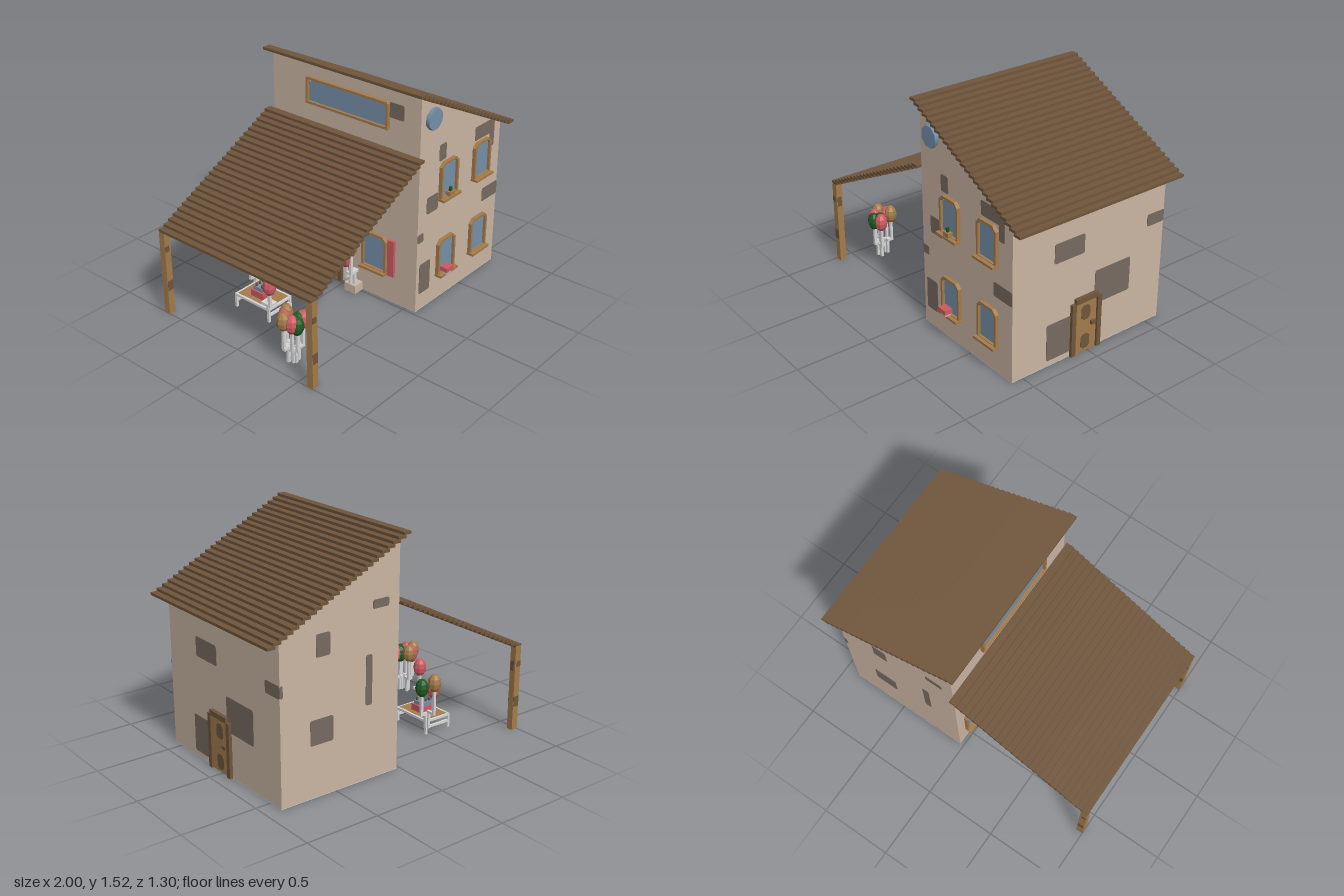
import * as THREE from 'three';

const mat = (name, color) => Object.assign(new THREE.MeshStandardMaterial({ color }), { name });
const M = {
  plaster: mat('plaster', 0xcbb6a4), stone: mat('worn stone', 0x776b60),
  wood: mat('light wood', 0xa47c4c), dark: mat('dark wood', 0x70563c),
  glass: mat('glass', 0x7690aa), red: mat('red', 0xcc5a60),
  green: mat('leaf green', 0x1f5a24), white: mat('white', 0xd6d6d6),
};

function add(parent, name, geometry, material, x = 0, y = 0, z = 0) {
  const mesh = new THREE.Mesh(geometry, material);
  mesh.name = name;
  mesh.position.set(x, y, z);
  parent.add(mesh);
  return mesh;
}
// box given by its minimum and maximum corners
function box(parent, name, material, x0, x1, y0, y1, z0, z1) {
  return add(parent, name, new THREE.BoxGeometry(x1 - x0, y1 - y0, z1 - z0), material,
    (x0 + x1) / 2, (y0 + y1) / 2, (z0 + z1) / 2);
}
function group(parent, name, x = 0, y = 0, z = 0, turn = 0) {
  const g = new THREE.Group();
  g.name = name;
  g.position.set(x, y, z);
  g.rotation.y = turn;
  parent.add(g);
  return g;
}
// outline with bevelled lower corners (b) and upper corners (t)
function outline(x0, x1, y0, y1, b, t) {
  return new THREE.Shape([[x0 + b, y0], [x1 - b, y0], [x1, y0 + b], [x1, y1 - t], [x1 - t, y1],
    [x0 + t, y1], [x0, y1 - t], [x0, y0 + b]].map(p => new THREE.Vector2(...p)));
}
const slab = (shape, depth) => new THREE.ExtrudeGeometry(shape, { depth, bevelEnabled: false });

// worn stone patch on a wall, u and y ranges
function patch(wall, u0, u1, y0, y1, bevel = 0.008) {
  add(wall, 'stonePatch', slab(outline(u0, u1, y0, y1, bevel, bevel), 0.003), M.stone);
}

function windowUnit(wall, u0, u1, y0, y1, sill = true) {
  const g = group(wall, 'window');
  const frame = outline(u0, u1, y0, y1, 0.001, sill ? 0.03 : 0.012);
  frame.holes.push(outline(u0 + 0.016, u1 - 0.016, y0 + 0.016, y1 - 0.016, 0.001, sill ? 0.022 : 0.005));
  add(g, 'windowFrame', slab(frame, 0.025), M.wood);
  box(g, 'windowPane', M.glass, u0 + 0.01, u1 - 0.01, y0 + 0.01, y1 - 0.035, 0, 0.007);
  box(g, 'windowPaneTop', M.glass, u0 + 0.03, u1 - 0.03, y1 - 0.035, y1 - 0.01, 0, 0.007);
  if (sill) box(g, 'windowSill', M.wood, u0 - 0.004, u1 + 0.004, y0 - 0.004, y0 + 0.012, 0, 0.05);
}

function door(wall, u, tall) {
  const g = group(wall, 'door', u);
  g.scale.y = tall;
  box(g, 'doorPanel', M.wood, -0.09, 0.09, 0, 0.365, 0, 0.008);
  for (const s of [-1, 1]) box(g, 'doorPost', M.dark, s * 0.102 - 0.016, s * 0.102 + 0.016, 0, 0.365, 0, 0.022);
  box(g, 'doorLintel', M.dark, -0.088, 0.088, 0.36, 0.395, 0, 0.025);
  for (const y of [0.02, 0.225])
    add(g, 'doorInset', slab(outline(-0.035, 0.035, y, y + 0.1, 0.018, 0.018), 0.003), M.dark, 0, 0, 0.008);
  box(g, 'doorHandle', M.dark, 0.04, 0.075, 0.175, 0.2, 0.008, 0.025);
}

// overlapping planks climbing from (x, y) in 25 steps
function steppedRoof(root, name, x, y, rise) {
  const g = group(root, name);
  for (let i = 0; i < 25; i++) {
    const px = x + i * 0.0404, py = y + i * rise;
    box(g, 'roofPlank', M.dark, px, px + 0.055, py, py + 0.018, -0.65, 0.615);
  }
}

// tulip-like bud on a white stepped stalk
const budGeometry = new THREE.SphereGeometry(1, 8, 6).toNonIndexed();
budGeometry.computeVertexNormals();
function flower(parent, material, x, y, z, footX, footY, footZ) {
  const bud = add(parent, 'flowerBud', budGeometry, material, x, y, z);
  bud.scale.set(0.044, 0.064, 0.044);
  const bend = footY + (y - footY) * 0.35, r = 0.009;
  box(parent, 'stalkLower', M.white, footX - r, footX + r, footY, bend + r, footZ - r, footZ + r);
  box(parent, 'stalkBend', M.white, Math.min(x, footX) - r, Math.max(x, footX) + r, bend - r, bend + r,
    Math.min(z, footZ) - r, Math.max(z, footZ) + r);
  box(parent, 'stalkUpper', M.white, x - r, x + r, bend, y - 0.05, z - r, z + r);
}

export function createModel() {
  const root = new THREE.Group();
  root.name = 'houseWithPorch';

  // house body and floor
  const side = new THREE.Shape([[0.025, 0], [0.895, 0], [0.895, 1.055], [0.025, 1.49]].map(p => new THREE.Vector2(...p)));
  add(root, 'houseWalls', slab(side, 1.19), M.plaster, 0, 0.003, -0.61);
  box(root, 'floorPlate', M.white, 0.025, 0.895, 0, 0.003, -0.61, 0.58);

  // roofs
  steppedRoof(root, 'mainRoof', -0.025, 1.503, -0.0204);
  steppedRoof(root, 'porchRoof', -1, 0.587, 0.0204);

  // walls: local x runs along the wall, local z points outwards
  const front = group(root, 'frontWall', 0, 0, 0.58);
  const right = group(root, 'doorWall', 0.895, 0, 0, Math.PI / 2);
  const back = group(root, 'backWall', 0, 0, -0.61, Math.PI);
  const porch = group(root, 'porchWall', 0.025, 0, 0, -Math.PI / 2);

  // front windows
  for (const u of [0.23, 0.59]) for (const y of [0.18, 0.73]) windowUnit(front, u, u + 0.18, y, y + 0.258);
  const round = add(front, 'roundWindow', new THREE.CylinderGeometry(0.072, 0.072, 0.03, 8), M.glass, 0.14, 1.32, 0.01);
  round.rotation.set(Math.PI / 2, Math.PI / 8, 0);
  [[0.225, 0.295, 1, 1.11], [0.61, 0.825, 1, 1.095], [0.775, 0.825, 0.9, 1.05], [0.11, 0.225, 0.675, 0.79],
    [0.725, 0.895, 0.52, 0.615], [0.025, 0.085, 0.5, 0.56], [0.055, 0.165, 0.12, 0.335]].forEach(p => patch(front, ...p));
  // things on the window sills
  box(front, 'sillPot', M.wood, 0.295, 0.345, 0.74, 0.772, 0.01, 0.045);
  box(front, 'sillPlant', M.green, 0.312, 0.328, 0.77, 0.8, 0.02, 0.036);
  box(front, 'flowerPot', M.plaster, 0.27, 0.325, 0.19, 0.212, 0.02, 0.06);
  box(front, 'sillFlowers', M.red, 0.262, 0.333, 0.21, 0.24, 0.015, 0.07);

  // door wall
  door(right, -0.018, 1);
  [[-0.27, -0.04, 0.69, 0.82], [0.47, 0.61, 0.69, 0.77], [0.055, 0.34, 0.3, 0.53], [-0.32, -0.1, 0.04, 0.29]]
    .forEach(p => patch(right, ...p));

  // back wall
  [[-0.64, -0.54, 0.88, 1.02], [-0.225, -0.105, 1.085, 1.14], [-0.275, -0.228, 0.49, 0.81], [-0.685, -0.52, 0.34, 0.5],
    [-0.895, -0.875, 0.69, 0.77]].forEach(p => patch(back, ...p));

  // porch wall
  windowUnit(porch, -0.313, 0.346, 1.22, 1.4, false);
  windowUnit(porch, -0.54, -0.34, 0.18, 0.45);
  windowUnit(porch, 0.15, 0.35, 0.2, 0.465);
  box(porch, 'redShutter', M.red, 0.36, 0.41, 0.2, 0.46, 0, 0.02);
  door(porch, -0.14, 1.15);
  patch(porch, 0.345, 0.455, 1.3, 1.4);

  // porch posts with dark knots
  for (const z of [0.57, -0.65]) {
    const post = group(root, 'porchPost', -1, 0, z);
    box(post, 'postBeam', M.wood, 0, 0.047, 0, 0.595, 0, 0.045);
    for (const dz of [-0.003, 0.045]) {
      box(post, 'postKnot', M.dark, 0.002, 0.033, 0.45, 0.49, dz, dz + 0.003);
      box(post, 'postKnot', M.dark, 0.002, 0.045, 0.17, 0.24, dz, dz + 0.003);
    }
    box(post, 'postKnot', M.dark, 0.047, 0.05, 0.42, 0.49, 0.01, 0.04);
  }

  // table with cake
  const table = group(root, 'table', -0.56, 0, -0.2);
  box(table, 'tableTop', M.wood, -0.09, 0.09, 0.088, 0.1, -0.135, 0.135);
  for (const sx of [-1, 1]) {
    box(table, 'tableRim', M.white, sx * 0.098 - 0.008, sx * 0.098 + 0.008, 0.083, 0.099, -0.15, 0.15);
    for (const sz of [-1, 1]) box(table, 'tableLeg', M.white, sx * 0.098 - 0.008, sx * 0.098 + 0.008, 0, 0.09, sz * 0.142 - 0.008, sz * 0.142 + 0.008);
  }
  for (const sz of [-1, 1]) for (const y of [0.04, 0.083])
    box(table, 'tableRail', M.white, -0.09, 0.09, y, y + 0.015, sz * 0.142 - 0.008, sz * 0.142 + 0.008);
  box(table, 'cakeBase', M.red, -0.055, 0.055, 0.1, 0.145, -0.055, 0.055);
  box(table, 'cakeTop', M.glass, -0.042, 0.042, 0.145, 0.17, -0.042, 0.042);
  for (const sx of [-1, 0, 1]) for (const sz of [-1, 1])
    box(table, 'candle', M.dark, sx * 0.03 - 0.006, sx * 0.03 + 0.006, 0.17, 0.19, sz * 0.025 - 0.006, sz * 0.025 + 0.006);

  // flowers at the table corners
  const corner = group(root, 'tableFlowers');
  flower(corner, M.red, -0.705, 0.31, 0, -0.66, 0.09, -0.06);
  flower(corner, M.red, -0.515, 0.31, -0.35, -0.47, 0.05, -0.35);
  flower(corner, M.wood, -0.465, 0.385, -0.41, -0.465, 0.05, -0.36);
  flower(corner, M.green, -0.41, 0.345, -0.35, -0.45, 0.05, -0.35);

  // flower bunch near the front post
  const bunch = group(root, 'flowerBunch', -0.86, 0, 0.335);
  [[M.wood, -0.06, 0.3, -0.02], [M.wood, 0.02, 0.3, -0.07], [M.red, -0.015, 0.285, -0.055], [M.green, -0.01, 0.27, 0.045],
    [M.green, 0.025, 0.275, 0.02], [M.red, 0.055, 0.28, 0.03], [M.red, -0.035, 0.285, 0.025]]
    .forEach(([m, x, y, z]) => flower(bunch, m, x, y, z, x * 0.5, 0, z * 0.6));

  // potted flowers by the porch wall
  const pot = group(root, 'pottedFlowers');
  box(pot, 'planter', M.plaster, -0.06, 0.02, 0, 0.06, 0.06, 0.15);
  flower(pot, M.wood, -0.09, 0.365, 0.14, -0.03, 0.06, 0.12);
  flower(pot, M.red, -0.09, 0.27, 0.1, -0.045, 0.06, 0.1);
  return root;
}
